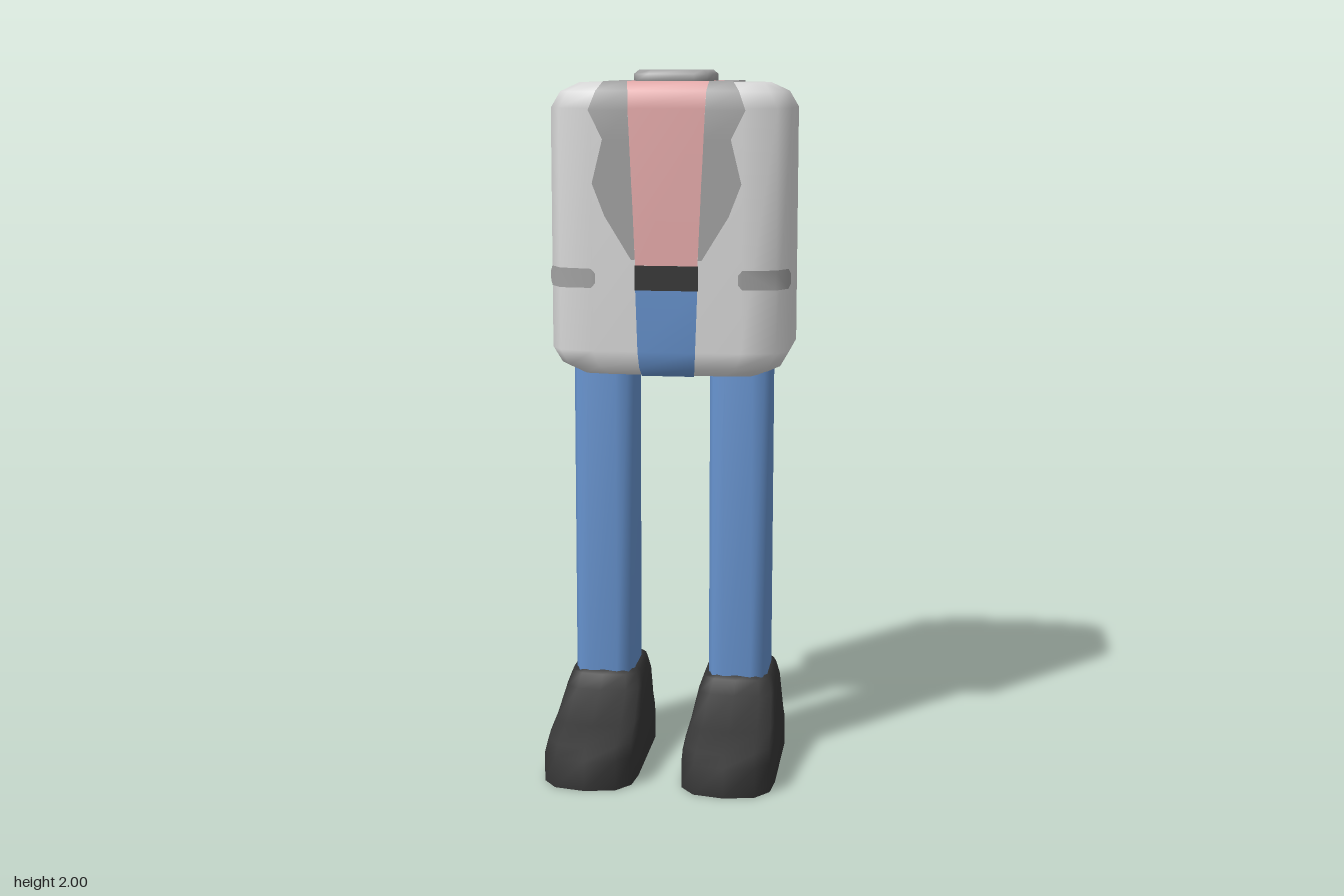
import * as THREE from 'three';

const material = (name, color) => {
  const m = new THREE.MeshStandardMaterial({ color });
  m.name = name;
  return m;
};

// Closed outline (unit square, x right / z front) from its right half, front to back
function mirrorOutline(half) {
  const left = half.filter(([x]) => x > 0).reverse().map(([x, z]) => [-x, z]);
  return [...half, ...left];
}

// Stack of scaled outlines; ring = [y, halfWidth, zFront, zBack].
// Group 0 is the wall and top, group 1 the sharp-edged underside.
function loft(outline, rings) {
  const n = outline.length, pos = [], idx = [];
  const addRing = ([y, w, zf, zb]) => outline.forEach(([x, z]) =>
    pos.push(x * w, y, (zf + zb) / 2 + z * (zf - zb) / 2));
  const addCentre = ([y, , zf, zb]) => pos.push(0, y, (zf + zb) / 2) / 3 - 1;
  rings.forEach(addRing);
  for (let i = 0; i < rings.length - 1; i++) {
    for (let j = 0; j < n; j++) {
      const a = i * n + j, b = i * n + (j + 1) % n;
      idx.push(a, b, b + n, a, b + n, a + n);
    }
  }
  const last = (rings.length - 1) * n;
  const top = addCentre(rings[rings.length - 1]);
  for (let j = 0; j < n; j++) idx.push(top, last + j, last + (j + 1) % n);
  const wallCount = idx.length;
  const base = pos.length / 3;
  addRing(rings[0]);
  const bottom = addCentre(rings[0]);
  for (let j = 0; j < n; j++) idx.push(bottom, base + (j + 1) % n, base + j);

  const g = new THREE.BufferGeometry();
  g.setAttribute('position', new THREE.Float32BufferAttribute(pos, 3));
  g.setIndex(idx);
  g.addGroup(0, wallCount, 0);
  g.addGroup(wallCount, idx.length - wallCount, 1);
  g.computeVertexNormals();
  return g;
}

// Ribbon through pairs of points [left, right], running upward
function ribbon(pairs) {
  const pos = pairs.flat(2), idx = [];
  for (let i = 0; i < pairs.length - 1; i++) {
    const a = i * 2;
    idx.push(a, a + 1, a + 3, a, a + 3, a + 2);
  }
  const g = new THREE.BufferGeometry();
  g.setAttribute('position', new THREE.Float32BufferAttribute(pos, 3));
  g.setIndex(idx);
  g.computeVertexNormals();
  return g;
}

export function createModel() {
  const jacket = material('jacketWhite', 0xdadada);
  const grey = material('trimGrey', 0xa2a2a2);
  const pink = material('shirtPink', 0xe6aaaa);
  const blue = material('trouserBlue', 0x6591cc);
  const black = material('leatherBlack', 0x353535);
  const red = material('soleRed', 0x780606);
  [grey, pink, blue, black].forEach(m => { m.side = THREE.DoubleSide; });

  const model = new THREE.Group();
  model.name = 'suitedBody';
  const add = (name, geometry, mat, parent = model) => {
    const mesh = new THREE.Mesh(geometry, mat);
    mesh.name = name;
    parent.add(mesh);
    return mesh;
  };

  // Jacket block with rounded edges and a trouser-coloured underside
  const torsoOutline = mirrorOutline([
    [0.62, 1], [0.9, 0.92], [1, 0.6], [1, -0.65], [0.9, -0.88], [0.59, -1]]);
  add('jacket', loft(torsoOutline, [
    [1.145, 0.262, 0.035, -0.285], [1.17, 0.315, 0.055, -0.315], [1.215, 0.341, 0.067, -0.33],
    [1.895, 0.341, 0.067, -0.33], [1.94, 0.315, 0.055, -0.315], [1.965, 0.262, 0.035, -0.285],
  ]), [jacket, blue]);

  // Centre front: trousers, belt and shirt; row = [halfWidth, y, z]
  const centred = rows => ribbon(rows.map(([w, y, z]) => [[-w, y, z], [w, y, z]]));
  add('trouserFront', centred([
    [0.075, 1.142, 0.037], [0.079, 1.168, 0.059], [0.082, 1.215, 0.071], [0.088, 1.39, 0.071]]), blue);
  add('belt', centred([[0.09, 1.39, 0.072], [0.09, 1.46, 0.072]]), black);
  add('shirt', centred([
    [0.088, 1.46, 0.071], [0.108, 1.895, 0.071], [0.11, 1.943, 0.059],
    [0.115, 1.969, 0.038], [0.122, 1.969, -0.28]]), pink);

  // Collar at the back of the neck
  add('collar', centred([
    [0.182, 1.969, -0.28], [0.182, 1.969, -0.287], [0.18, 1.945, -0.319]]), grey);

  // Neck stub
  const neckOutline = mirrorOutline([
    [0.57, 1], [0.88, 0.82], [1, 0.5], [1, -0.5], [0.88, -0.82], [0.57, -1]]);
  add('neck', loft(neckOutline, [
    [1.955, 0.105, -0.03, -0.24], [1.97, 0.114, -0.023, -0.247],
    [1.988, 0.114, -0.023, -0.247], [2.0, 0.1, -0.037, -0.235],
  ]), [grey, grey]);

  // Lapel rows = [innerX, outerX, y, z]; pocket points = [x, z, halfHeight]
  const lapelRows = [
    [0.089, 0.1, 1.476, 0.071], [0.094, 0.175, 1.598, 0.071], [0.098, 0.21, 1.688, 0.071],
    [0.104, 0.18, 1.81, 0.071], [0.108, 0.22, 1.89, 0.071], [0.11, 0.2, 1.943, 0.059],
    [0.115, 0.182, 1.969, 0.038], [0.122, 0.182, 1.969, -0.28]];
  const pocketPoints = [
    [0.202, 0.071, 0.013], [0.214, 0.071, 0.027], [0.306, 0.055, 0.028],
    [0.338, 0.003, 0.028], [0.344, -0.006, 0.014]];

  const legOutline = mirrorOutline([
    [0.45, 1], [0.85, 0.9], [1, 0.6], [1, -0.6], [0.85, -0.9], [0.45, -1]]);
  const shoeOutline = mirrorOutline([
    [0, 1], [0.65, 0.94], [0.94, 0.77], [1, 0.5], [1, -0.6], [0.9, -0.86], [0.5, -0.97], [0, -1]]);

  for (const [side, s] of [['left', 1], ['right', -1]]) {
    const ordered = (a, b) => (s > 0 ? [a, b] : [b, a]);

    add(side + 'Lapel', ribbon(lapelRows.map(([xi, xo, y, z]) =>
      ordered([s * xi, y, z], [s * xo, y, z]))), grey);

    add(side + 'Pocket', ribbon(pocketPoints.map(([x, z, h]) =>
      ordered([s * x, 1.422 + h, z], [s * x, 1.422 - h, z]))), grey);

    // Trouser leg
    const leg = add(side + 'Leg', loft(legOutline, [
      [0.2, 0.087, -0.002, -0.212], [1.16, 0.087, -0.002, -0.212]]), [blue, blue]);
    leg.position.x = s * 0.198;

    // Shoe with a low toe rising to the ankle, and a coloured sole
    const shoe = add(side + 'Shoe', loft(shoeOutline, [
      [0, 0.133, 0.33, -0.255], [0.085, 0.133, 0.33, -0.255], [0.118, 0.127, 0.302, -0.255],
      [0.143, 0.122, 0.195, -0.254], [0.205, 0.112, 0.055, -0.253],
      [0.24, 0.1, 0.012, -0.25], [0.253, 0.08, -0.005, -0.24],
    ]), [black, red]);
    shoe.position.x = s * 0.197;
  }

  return model;
}
